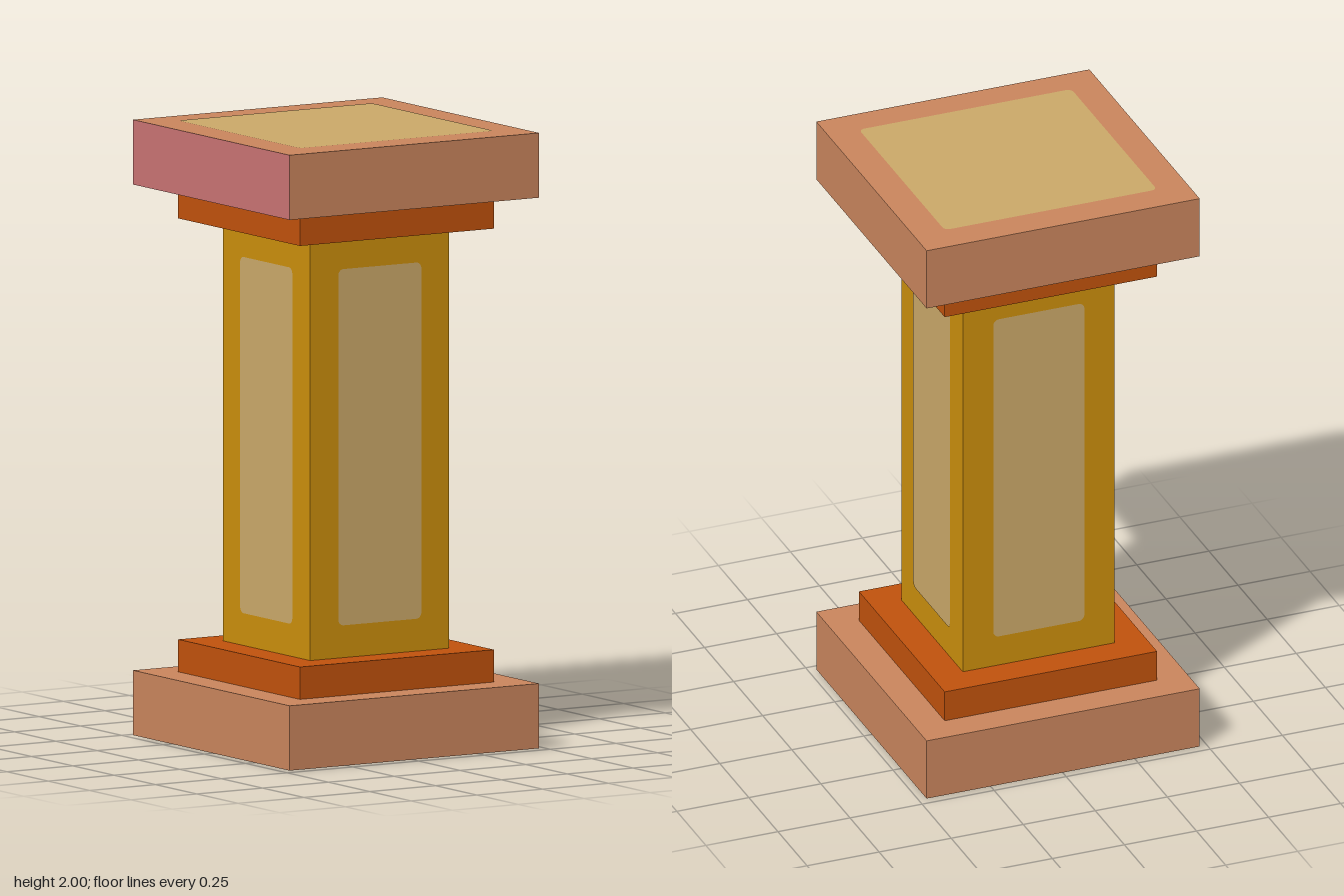
import * as THREE from 'three';

const U = 1 / 19; // module: the pillar is 38 units tall

function material(name, color) {
  const m = new THREE.MeshStandardMaterial({ color });
  m.name = name;
  return m;
}

// Flat rectangle with softly rounded corners, facing +z
function panelGeometry(w, h, r) {
  const x = w / 2, y = h / 2;
  const s = new THREE.Shape();
  s.moveTo(-x + r, -y);
  s.lineTo(x - r, -y);
  s.absarc(x - r, -y + r, r, -Math.PI / 2, 0);
  s.lineTo(x, y - r);
  s.absarc(x - r, y - r, r, 0, Math.PI / 2);
  s.lineTo(-x + r, y);
  s.absarc(-x + r, y - r, r, Math.PI / 2, Math.PI);
  s.lineTo(-x, -y + r);
  s.absarc(-x + r, -y + r, r, Math.PI, Math.PI * 1.5);
  return new THREE.ShapeGeometry(s, 4);
}

export function createModel() {
  const group = new THREE.Group();
  group.name = 'pillar';

  const clay = material('clay', 0xc8845c);
  const rose = material('rose', 0xc87272);
  const rust = material('rust', 0xbf510c);
  const gold = material('gold', 0xc98d0c);
  const sand = material('sand', 0xc9a768);

  // Square block of given width, between two heights (in units)
  const block = (name, width, y0, y1, mat) => {
    const geo = new THREE.BoxGeometry(width * U, (y1 - y0) * U, width * U);
    const mesh = new THREE.Mesh(geo, mat);
    mesh.name = name;
    mesh.position.y = ((y0 + y1) / 2) * U;
    group.add(mesh);
  };

  block('baseSlab', 18, 0, 4, clay);
  block('lowerCollar', 14, 4, 6, rust);
  block('shaft', 10, 6, 32, gold);
  block('upperCollar', 14, 32, 34, rust);
  // The top slab has one differently coloured side (-x)
  block('topSlab', 18, 34, 38, [clay, rose, clay, clay, clay, clay]);

  // Painted panels on the four shaft sides
  const lift = 0.002;
  const sideGeo = panelGeometry(6 * U, 22 * U, 0.02);
  for (let i = 0; i < 4; i++) {
    const a = (i * Math.PI) / 2, d = 5 * U + lift;
    const panel = new THREE.Mesh(sideGeo, sand);
    panel.name = 'shaftPanel' + (i + 1);
    panel.position.set(Math.sin(a) * d, 19 * U, Math.cos(a) * d);
    panel.rotation.y = a;
    group.add(panel);
  }

  // Painted panels on the top and underside
  const endGeo = panelGeometry(14 * U, 14 * U, 0.02);
  for (const [name, y, turn] of [['topPanel', 2 + lift, -1], ['bottomPanel', -lift, 1]]) {
    const panel = new THREE.Mesh(endGeo, sand);
    panel.name = name;
    panel.position.y = y;
    panel.rotation.x = (turn * Math.PI) / 2;
    group.add(panel);
  }

  return group;
}
